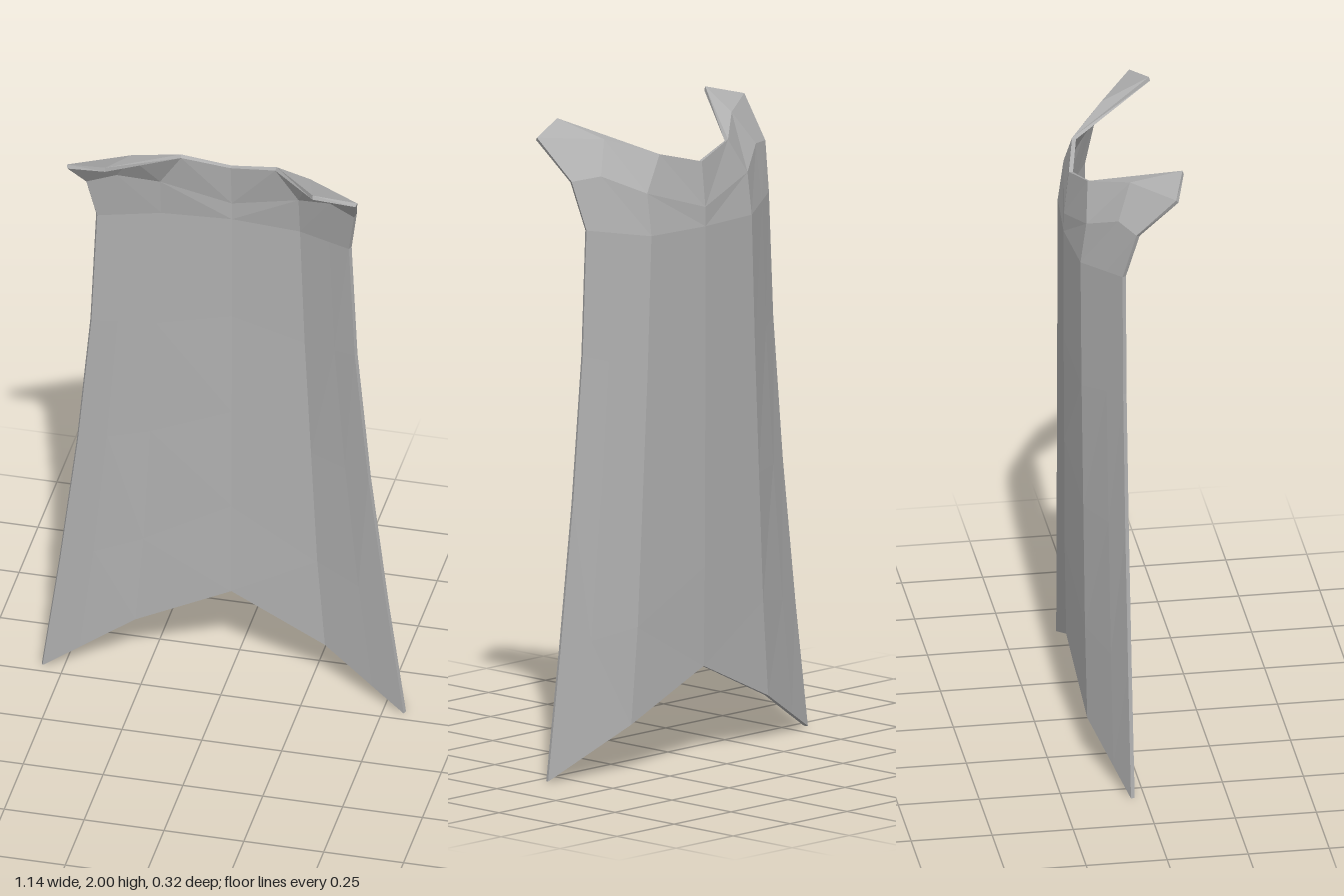
import * as THREE from 'three';

const THICK = 0.013;

// Right half of each row, from the spine out to the side hem: [x, y, z]
const panel = (spine, fold, hem) => {
  const between = fold.map((v, i) => v + (hem[i] - v) * 0.6);
  return [spine, fold, between, hem];
};
const rows = [
  // hanging cloth, bottom to shoulders
  panel([0, 0.29, -0.152], [0.30, 0.15, -0.135], [0.57, 0, -0.043]),
  panel([0, 0.60, -0.157], [0.275, 0.45, -0.138], [0.515, 0.40, -0.043]),
  panel([0, 0.95, -0.158], [0.255, 0.85, -0.14], [0.46, 0.85, -0.043]),
  panel([0, 1.30, -0.16], [0.235, 1.25, -0.142], [0.418, 1.30, -0.043]),
  panel([0, 1.66, -0.16], [0.22, 1.66, -0.143], [0.40, 1.69, -0.042]),
  // collar bending forward
  [[0, 1.72, -0.159], [0.22, 1.79, -0.125], [0.34, 1.85, -0.045], [0.425, 1.84, -0.003]],
  [[0, 1.86, -0.144], [0.15, 1.90, -0.11], [0.28, 1.95, 0.0], [0.455, 1.965, 0.115]],
  // shoulder tips: only the inner tip corner moves on
  [[0, 1.86, -0.144], [0.15, 1.90, -0.11], [0.325, 2.0, 0.155], [0.455, 1.965, 0.115]],
];

function clothGeometry() {
  // Shared points; repeated positions are merged by key
  const points = [], lookup = new Map();
  const id = (p) => {
    const key = p.map((v) => v.toFixed(4)).join();
    if (!lookup.has(key)) { lookup.set(key, points.length); points.push(p); }
    return lookup.get(key);
  };
  const tris = [];
  const add = (a, b, c) => {
    if (a !== b && b !== c && a !== c) tris.push([a, b, c]);
  };
  for (let r = 0; r < rows.length - 1; r++) {
    for (let c = 0; c < 3; c++) {
      for (const s of [1, -1]) {
        const at = (i, j) => {
          const [x, y, z] = rows[i][j];
          return id([x === 0 ? 0 : x * s, y, z]);
        };
        const a = at(r, c), b = at(r, c + 1), d = at(r + 1, c + 1), e = at(r + 1, c);
        // outer side faces the back
        if (s > 0) { add(a, d, b); add(a, e, d); }
        else { add(a, b, d); add(a, d, e); }
      }
    }
  }

  // Point normals give the direction of the cloth thickness
  const sheet = new THREE.BufferGeometry();
  sheet.setAttribute('position', new THREE.Float32BufferAttribute(points.flat(), 3));
  sheet.setIndex(tris.flat());
  sheet.computeVertexNormals();
  const n = sheet.attributes.normal, count = points.length;
  const inner = points.map((p, i) => [
    p[0] - n.getX(i) * THICK, p[1] - n.getY(i) * THICK, p[2] - n.getZ(i) * THICK]);

  // Outer face, inner face and a rim along every open edge
  const index = [];
  const edges = new Set();
  tris.forEach(([a, b, c]) => [[a, b], [b, c], [c, a]].forEach((e) => edges.add(e.join())));
  for (const [a, b, c] of tris) {
    index.push(a, b, c, a + count, c + count, b + count);
    for (const [p, q] of [[a, b], [b, c], [c, a]]) {
      if (!edges.has([q, p].join())) {
        index.push(p, p + count, q + count, p, q + count, q);
      }
    }
  }
  const solid = new THREE.BufferGeometry();
  solid.setAttribute('position',
    new THREE.Float32BufferAttribute([...points, ...inner].flat(), 3));
  solid.setIndex(index);
  const flat = solid.toNonIndexed();
  flat.computeVertexNormals();
  return flat;
}

export function createModel() {
  const group = new THREE.Group();
  group.name = 'cape';
  const cloth = new THREE.MeshStandardMaterial({ color: 0xb0b0b0, flatShading: true });
  cloth.name = 'grey cloth';
  const mesh = new THREE.Mesh(clothGeometry(), cloth);
  mesh.name = 'capeCloth';
  group.add(mesh);
  return group;
}
